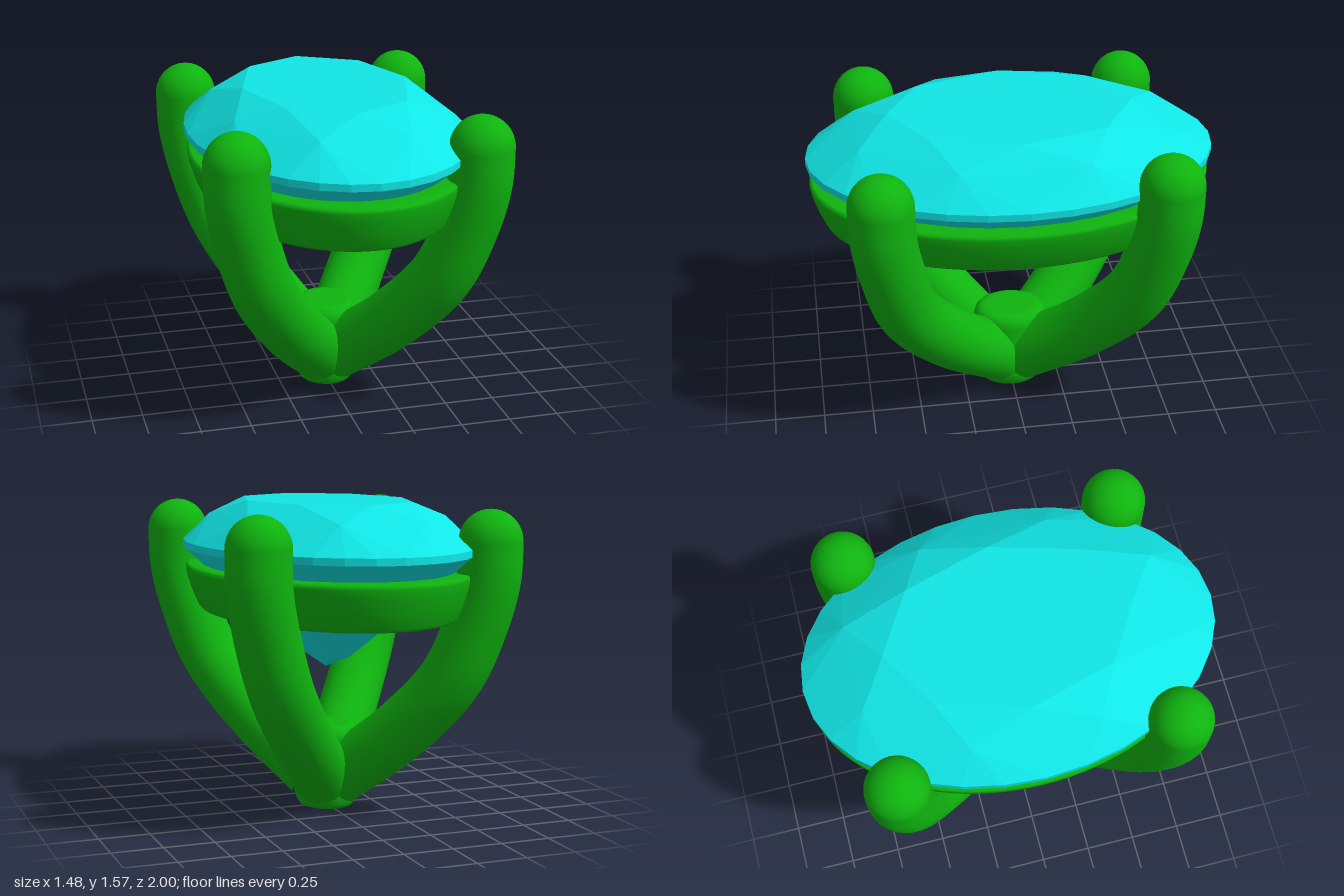
import * as THREE from 'three';
import { mergeVertices } from 'three/addons/utils/BufferGeometryUtils.js';
import { ConvexGeometry } from 'three/addons/geometries/ConvexGeometry.js';

const metal = new THREE.MeshStandardMaterial({ color: 0x0fb40f });
const stone = new THREE.MeshStandardMaterial({ color: 0x11e6e6, flatShading: true });
const HALF_X = 0.69, HALF_Z = 1, PRONG_R = 0.155;

function add(parent, name, geometry, material) {
  const mesh = new THREE.Mesh(geometry, material);
  mesh.name = name;
  parent.add(mesh);
  return mesh;
}

// Oval brilliant: rings of facet corners, joined by their convex hull
function gemGeometry() {
  const points = [new THREE.Vector3(0, 0.72, 0)];
  const ring = (count, radius, height, offset = 0) => {
    for (let i = 0; i < count; i++) {
      const a = ((i + offset) / count) * Math.PI * 2;
      const y = typeof height === 'function' ? height(a) : height;
      points.push(new THREE.Vector3(Math.sin(a) * radius * HALF_X, y, Math.cos(a) * radius * HALF_Z));
    }
  };
  ring(8, 0.6, 1.57); // table
  ring(8, 0.81, 1.495, 0.5); // crown
  ring(32, 1, 1.36); // girdle
  ring(32, 1, 1.325);
  ring(8, 0.2, (a) => (Math.abs(Math.cos(a)) > 0.7 ? 0.79 : 0.815), 0.5); // pavilion
  return new ConvexGeometry(points);
}

// Oval band: a lathed section pulled in along x so its width stays even
function bandGeometry() {
  const section = [
    [0.76, 1.01], [0.89, 1.01], [0.91, 1.014], [0.925, 1.03], [0.955, 1.1], [0.978, 1.17],
    [0.987, 1.215], [0.985, 1.232], [0.97, 1.24], [0.87, 1.24], [0.85, 1.235], [0.84, 1.22],
    [0.75, 1.04], [0.745, 1.02], [0.76, 1.01],
  ].map(([r, y]) => new THREE.Vector2(r, y));
  let geometry = new THREE.LatheGeometry(section, 96);
  const pos = geometry.attributes.position;
  for (let i = 0; i < pos.count; i++) {
    const x = pos.getX(i), z = pos.getZ(i);
    pos.setX(i, x - (x / Math.hypot(x, z)) * (HALF_Z - HALF_X));
  }
  geometry.deleteAttribute('uv');
  geometry.deleteAttribute('normal');
  geometry = mergeVertices(geometry);
  geometry.computeVertexNormals();
  return geometry;
}

// Curved claw with a round tip
function prong(sx, sz) {
  const group = new THREE.Group();
  group.name = `${sz > 0 ? 'front' : 'back'}${sx > 0 ? 'Left' : 'Right'}Prong`;
  const path = [
    [0.04, 0.16, 0.06], [0.26, 0.43, 0.35], [0.44, 0.72, 0.555],
    [0.535, 1.0, 0.635], [0.578, 1.22, 0.672], [0.583, 1.392, 0.677],
  ].map(([x, y, z]) => new THREE.Vector3(x * sx, y, z * sz));
  add(group, 'claw', new THREE.TubeGeometry(new THREE.CatmullRomCurve3(path), 48, PRONG_R, 32), metal);
  const tip = add(group, 'clawTip', new THREE.SphereGeometry(PRONG_R, 32, 20), metal);
  tip.position.copy(path[path.length - 1]);
  return group;
}

export function createModel() {
  const model = new THREE.Group();
  model.name = 'gemSetting';

  add(model, 'gem', gemGeometry(), stone);
  add(model, 'supportBand', bandGeometry(), metal);

  for (const sx of [1, -1]) for (const sz of [1, -1]) model.add(prong(sx, sz));

  // Rounded foot where the prongs meet
  const foot = [
    [0, 0], [0.11, 0], [0.135, 0.01], [0.15, 0.035], [0.165, 0.09],
    [0.165, 0.37], [0.155, 0.41], [0.13, 0.428], [0.1, 0.43], [0, 0.43],
  ].map(([r, y]) => new THREE.Vector2(r, y));
  add(model, 'foot', new THREE.LatheGeometry(foot, 40), metal).scale.z = 1.15;

  return model;
}
